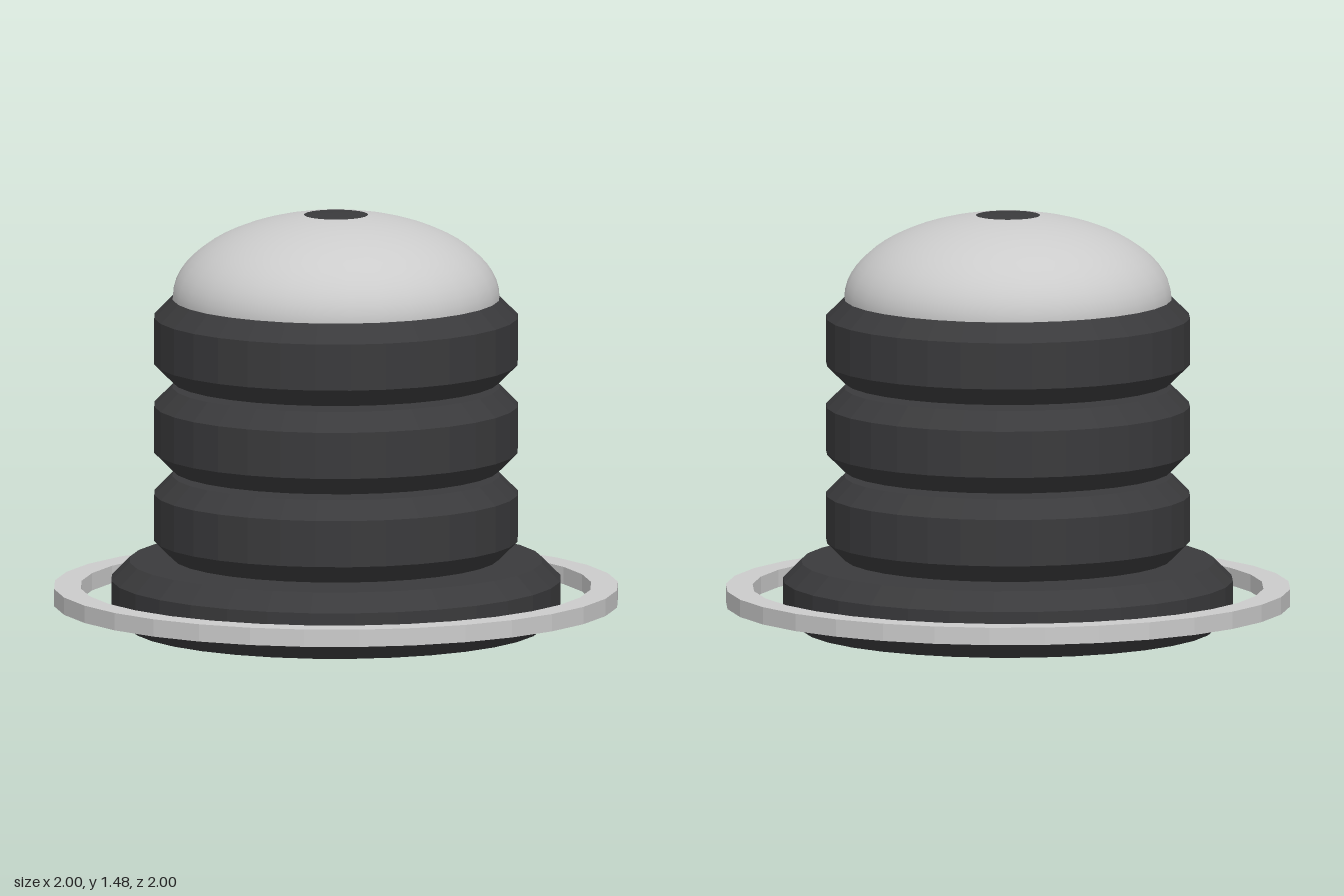
import * as THREE from 'three';

const SIDES = 32;

export function createModel() {
  const group = new THREE.Group();
  const dark = new THREE.MeshStandardMaterial({ color: 0x3a3a3c, flatShading: true });
  const darkSmooth = new THREE.MeshStandardMaterial({ color: 0x3a3a3c });
  const grey = new THREE.MeshStandardMaterial({ color: 0xcccccc });
  const greyFlat = new THREE.MeshStandardMaterial({ color: 0xcccccc, flatShading: true });

  function add(name, geometry, material, y) {
    const mesh = new THREE.Mesh(geometry, material);
    mesh.name = name;
    mesh.position.y = y;
    group.add(mesh);
    return mesh;
  }

  const lathe = (points) =>
    new THREE.LatheGeometry(points.map(([r, y]) => new THREE.Vector2(r, y)), SIDES);

  // Solid disc with chamfered rims, standing on its own y = 0
  const chamferedDisc = (r, h, c) =>
    lathe([[0, 0], [r - c, 0], [r, c], [r, h - c], [r - c, h], [0, h]]);

  // Wide foot
  add('base', chamferedDisc(0.797, 0.238, 0.065), dark, 0);

  // Loose flat ring around the foot
  add('outerRing', lathe([[0.905, 0], [1, 0], [1, 0.062], [0.905, 0.062], [0.905, 0]]), greyFlat, 0.085);

  // Three stacked discs with narrow gaps
  for (let i = 0; i < 3; i++) {
    add(`bodyDisc${i + 1}`, chamferedDisc(0.645, 0.295, 0.065), dark, 0.249 + i * 0.316);
  }

  // Flattened dome with a dark patch at its crown
  const crown = Math.PI / 16;
  const domePiece = (start, length, rows) =>
    new THREE.SphereGeometry(0.58, SIDES, rows, 0, Math.PI * 2, start, length)
      .scale(1, 0.304 / 0.58, 1);
  add('dome', domePiece(crown, Math.PI / 2 - crown, 14), grey, 1.176);
  add('domeCrown', domePiece(0, crown, 2), darkSmooth, 1.176);

  return group;
}
